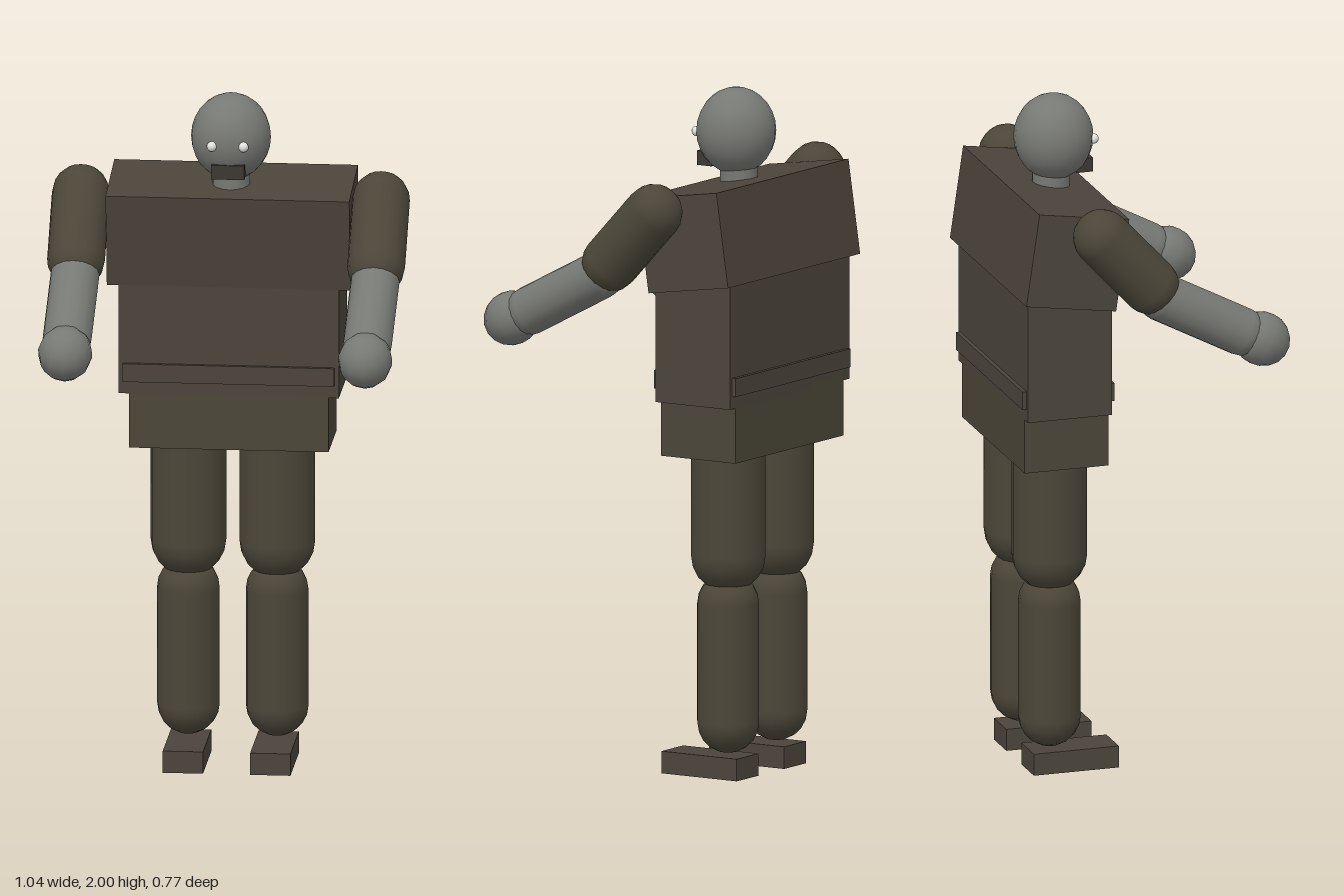
import * as THREE from 'three';

const mat = (name, color) => {
  const m = new THREE.MeshStandardMaterial({ color });
  m.name = name;
  return m;
};

export function createModel() {
  const model = new THREE.Group();
  model.name = 'figure';
  const jacket = mat('jacketBrown', 0x4b443b);
  const trousers = mat('trouserOlive', 0x4b4638);
  const skin = mat('skinGrey', 0x777974);
  const white = mat('eyeWhite', 0xe4e4e0);
  const dark = mat('mouthBrown', 0x3c3830);

  const add = (name, geometry, material, x, y, z) => {
    const mesh = new THREE.Mesh(geometry, material);
    mesh.name = name;
    mesh.position.set(x, y, z);
    model.add(mesh);
    return mesh;
  };
  const box = (name, material, [w, h, d], [x, y, z]) =>
    add(name, new THREE.BoxGeometry(w, h, d), material, x, y, z);

  // Capsule between two cap centres
  const limb = (name, material, r, a, b) => {
    const from = new THREE.Vector3(...a), to = new THREE.Vector3(...b);
    const dir = to.clone().sub(from);
    const mid = from.clone().add(to).multiplyScalar(0.5);
    const mesh = add(name, new THREE.CapsuleGeometry(r, dir.length(), 5, 16), material, mid.x, mid.y, mid.z);
    mesh.quaternion.setFromUnitVectors(new THREE.Vector3(0, 1, 0), dir.normalize());
    return mesh;
  };

  // Torso: chest leans forward over the waist
  box('chest', jacket, [0.708, 0.278, 0.276], [0, 1.596, -0.229]).rotation.x = 0.145;
  box('abdomen', jacket, [0.64, 0.385, 0.256], [0, 1.3075, -0.242]);
  box('belt', jacket, [0.614, 0.054, 0.28], [0, 1.179, -0.242]);
  box('pelvis', trousers, [0.58, 0.18, 0.256], [0, 1.043, -0.242]);

  // Head and face
  add('neck', new THREE.CylinderGeometry(0.055, 0.055, 0.12, 16), skin, 0, 1.74, -0.195);
  add('head', new THREE.SphereGeometry(0.116, 20, 14), skin, 0, 1.873, -0.187).scale.y = 1.095;
  box('mouth', dark, [0.096, 0.042, 0.05], [0, 1.79, -0.107]);

  for (const [side, s] of [['left', 1], ['right', -1]]) {
    add(side + 'Eye', new THREE.SphereGeometry(0.015, 10, 8), white, s * 0.046, 1.868, -0.08);

    // Arms reach forward
    const ax = s * 0.436;
    limb(side + 'UpperArm', trousers, 0.084, [ax, 1.693, -0.183], [ax, 1.532, -0.034]);
    limb(side + 'Forearm', skin, 0.071, [ax, 1.495, 0], [ax, 1.368, 0.242]);
    const hand = add(side + 'Hand', new THREE.SphereGeometry(0.079, 12, 9), skin, ax, 1.34, 0.304);
    hand.rotation.x = 0.48;
    hand.scale.z = 1.08;

    // Legs and feet
    const lx = s * 0.129;
    limb(side + 'Thigh', trousers, 0.11, [lx, 0.96, -0.242], [lx, 0.653, -0.242]);
    limb(side + 'Shin', trousers, 0.091, [lx, 0.508, -0.242], [lx, 0.162, -0.242]);
    box(side + 'Foot', jacket, [0.117, 0.065, 0.259], [s * 0.127, 0.0325, -0.178]);
  }
  return model;
}
